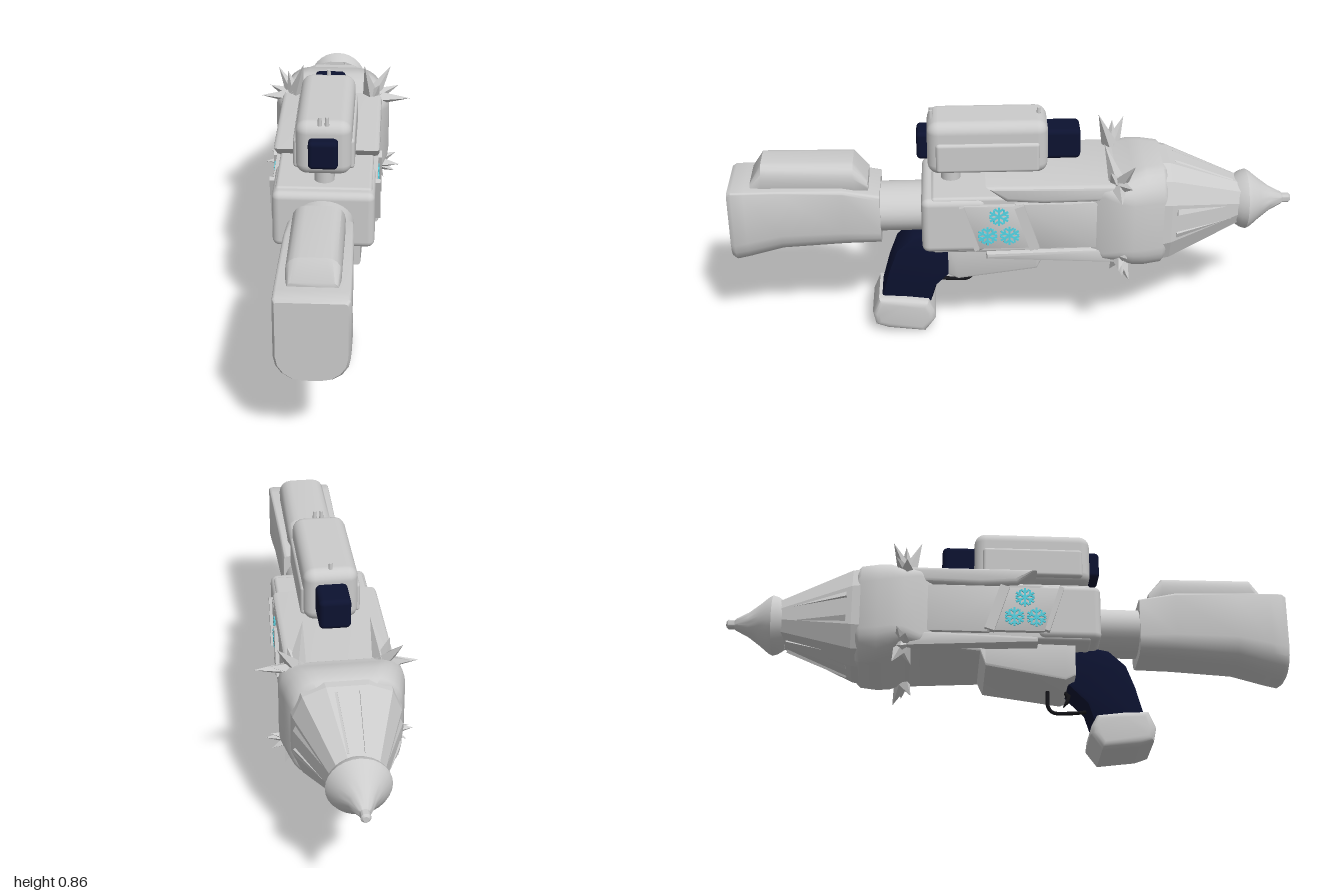
import * as THREE from 'three';
import { toCreasedNormals } from 'three/addons/utils/BufferGeometryUtils.js';
import { RoundedBoxGeometry } from 'three/addons/geometries/RoundedBoxGeometry.js';

const grey = new THREE.MeshStandardMaterial({ color: 0xcccccc });
const navy = new THREE.MeshStandardMaterial({ color: 0x0c1230 });
const black = new THREE.MeshStandardMaterial({ color: 0x15151a });
const cyan = new THREE.MeshStandardMaterial({ color: 0x55d5e5 });

// Rounded-rectangle sections [z, halfWidth, yBottom, yTop, rBottom, rTop], z ascending
function loft(sections, seg = 4, crease = 0.6) {
  const pos = [], idx = [], n = 4 * (seg + 1);
  for (const [z, w, y0, y1, rb, rt] of sections) {
    const corners = [[w - rt, y1 - rt, rt], [-w + rt, y1 - rt, rt], [-w + rb, y0 + rb, rb], [w - rb, y0 + rb, rb]];
    corners.forEach(([cx, cy, r], c) => {
      for (let k = 0; k <= seg; k++) {
        const a = (c + k / seg) * Math.PI / 2;
        pos.push(cx + r * Math.cos(a), cy + r * Math.sin(a), z);
      }
    });
  }
  const last = (sections.length - 1) * n;
  for (let s = 0; s < last; s += n) {
    for (let i = 0; i < n; i++) {
      const a = s + i, b = s + (i + 1) % n;
      idx.push(a, b, b + n, a, b + n, a + n);
    }
  }
  for (let i = 1; i < n - 1; i++) idx.push(0, i + 1, i, last, last + i, last + i + 1);
  const g = new THREE.BufferGeometry();
  g.setAttribute('position', new THREE.Float32BufferAttribute(pos, 3));
  g.setIndex(idx);
  return toCreasedNormals(g, crease);
}

// Side profile of [z, y] points extruded across x, centred on x = 0
function side(points, width, bevel = 0.01, bevelSegments = 2) {
  const shape = new THREE.Shape(points.map(p => new THREE.Vector2(...p)));
  const depth = width - 2 * bevel;
  const g = new THREE.ExtrudeGeometry(shape, {
    depth, bevelEnabled: bevel > 0, bevelSize: bevel, bevelThickness: bevel, bevelOffset: -bevel, bevelSegments,
  });
  return toCreasedNormals(g.translate(0, 0, -depth / 2).rotateY(-Math.PI / 2), 0.7);
}

// Flat bar on a side panel between two [z, y] points
function bar([z0, y0], [z1, y1], width, thick, x) {
  const g = new THREE.BoxGeometry(thick, Math.hypot(z1 - z0, y1 - y0), width);
  return g.rotateX(Math.atan2(z1 - z0, y1 - y0)).translate(x, (y0 + y1) / 2, (z0 + z1) / 2);
}

export function createModel() {
  const model = new THREE.Group();
  const body = new THREE.Group();
  body.name = 'body';
  body.position.x = -0.015;
  model.add(body);
  const add = (name, geometry, material = grey, parent = body) => {
    const mesh = new THREE.Mesh(geometry, material);
    mesh.name = name;
    parent.add(mesh);
    return mesh;
  };
  const box = (name, w, h, d, r, y, z, material) =>
    add(name, new RoundedBoxGeometry(w, h, d, 3, r), material).position.set(0, y, z);

  // Stock with cheek rest and neck
  add('stock', loft([
    [0.47, 0.11, 0.37, 0.575, 0.06, 0.015], [0.6, 0.114, 0.365, 0.6, 0.07, 0.012],
    [0.82, 0.118, 0.35, 0.605, 0.08, 0.01], [0.94, 0.12, 0.315, 0.605, 0.09, 0.01],
    [0.985, 0.12, 0.305, 0.605, 0.09, 0.01], [1, 0.112, 0.315, 0.598, 0.085, 0.01]]));
  add('cheekRest', loft([
    [0.51, 0.075, 0.58, 0.615, 0.01, 0.015], [0.56, 0.086, 0.58, 0.682, 0.01, 0.045],
    [0.88, 0.086, 0.58, 0.685, 0.01, 0.045], [0.92, 0.08, 0.58, 0.62, 0.01, 0.02]]));
  add('stockNeck', new THREE.CylinderGeometry(0.105, 0.105, 0.2, 28)
    .scale(1, 1, 0.8).rotateX(Math.PI / 2).translate(0, 0.482, 0.4));

  // Receiver
  box('rearReceiver', 0.35, 0.21, 0.225, 0.025, 0.485, 0.212);
  box('core', 0.33, 0.22, 0.62, 0.012, 0.485, -0.02);
  add('lowerReceiver', loft([
    [-0.3, 0.15, 0.35, 0.42, 0.01, 0.01], [-0.1, 0.145, 0.335, 0.42, 0.01, 0.01],
    [-0.08, 0.135, 0.285, 0.42, 0.01, 0.01], [0.2, 0.125, 0.242, 0.42, 0.01, 0.01],
    [0.235, 0.125, 0.26, 0.42, 0.01, 0.01]], 2));
  add('upperShell', side([[0.1, 0.642], [0.03, 0.585], [-0.1, 0.575], [-0.36, 0.58], [-0.36, 0.642]], 0.37, 0.018, 3));
  add('lowerShell', side([[0.1, 0.38], [0.1, 0.358], [-0.36, 0.333], [-0.36, 0.39], [-0.25, 0.388]], 0.37, 0.01));

  // Side panels with framed snowflake plates
  for (const s of [-1, 1]) {
    const panel = new THREE.Group();
    panel.name = s > 0 ? 'leftPanel' : 'rightPanel';
    body.add(panel);
    add('darkPanel', side([[0, 0.575], [-0.29, 0.575], [-0.29, 0.395], [-0.07, 0.395]], 0.02, 0.004), grey, panel).position.x = s * 0.168;
    add('plate', side([[0.185, 0.57], [-0.03, 0.57], [-0.085, 0.4], [0.13, 0.4]], 0.018, 0.003), grey, panel).position.x = s * 0.172;
    add('rearFrame', bar([0.185, 0.57], [0.132, 0.4], 0.018, 0.02, s * 0.182), grey, panel);
    add('frontFrame', bar([-0.015, 0.57], [-0.07, 0.4], 0.035, 0.02, s * 0.182), grey, panel);
    for (const [z, y] of [[0.055, 0.53], [0.095, 0.453], [0.018, 0.453]]) {
      for (let k = 0; k < 6; k++) {
        const a = k * Math.PI / 3 + Math.PI / 6;
        const at = (r, t) => [z + r * Math.cos(t), y + r * Math.sin(t)];
        add('snowflakeArm', bar([z, y], at(0.036, a), 0.007, 0.006, s * 0.182), cyan, panel);
        for (const t of [-0.45, 0.45])
          add('snowflakeBranch', bar(at(0.018, a), at(0.033, a + t), 0.006, 0.006, s * 0.182), cyan, panel);
      }
    }
  }

  // Muzzle collar, faceted cone and tip
  add('muzzleCollar', loft([
    [-0.535, 0.172, 0.305, 0.66, 0.1, 0.1], [-0.52, 0.185, 0.293, 0.672, 0.1, 0.1],
    [-0.46, 0.2, 0.292, 0.674, 0.1, 0.1], [-0.415, 0.212, 0.305, 0.665, 0.09, 0.09],
    [-0.37, 0.21, 0.333, 0.642, 0.06, 0.06], [-0.31, 0.19, 0.335, 0.64, 0.04, 0.04],
    [-0.27, 0.17, 0.36, 0.62, 0.03, 0.03]], 6, 0.8));
  add('muzzleCone', loft([
    [-0.81, 0.085, 0.412, 0.562, 0.055, 0.055], [-0.55, 0.18, 0.3, 0.668, 0.11, 0.11],
    [-0.52, 0.184, 0.296, 0.67, 0.11, 0.11]], 2, 0.2));
  for (let k = 0; k < 8; k++) {
    const a = (k + 0.5) * Math.PI / 4;
    const g = new THREE.BoxGeometry(0.07, 0.012, 0.23);
    const p = g.attributes.position;
    for (let i = 0; i < p.count; i++) if (p.getZ(i) < 0) p.setX(i, p.getX(i) * 0.35);
    g.rotateX(-0.38).translate(0, 0.133, -0.675).rotateZ(a).translate(0, 0.482, 0);
    add('conePanel', g);
  }
  const tip = [[0, 0.79], [0.085, 0.79], [0.102, 0.815], [0.108, 0.835], [0.1, 0.85], [0.075, 0.88],
    [0.045, 0.92], [0.022, 0.965], [0.017, 0.97], [0.017, 0.993], [0.01, 1], [0, 1]].map(p => new THREE.Vector2(...p));
  add('muzzleTip', toCreasedNormals(new THREE.LatheGeometry(tip, 28), 0.7).rotateX(-Math.PI / 2).translate(0, 0.482, 0));

  // Spike clusters: base point, then tips, placed by the collar corners
  const clusters = [
    [[0.13, 0.625, -0.36], [[0.275, 0.625, -0.36], [0.2, 0.732, -0.41], [0.105, 0.775, -0.31], [0.16, 0.69, -0.33], [0.23, 0.66, -0.4]]],
    [[-0.155, 0.625, -0.36], [[-0.28, 0.625, -0.36], [-0.218, 0.72, -0.41], [-0.12, 0.775, -0.31], [-0.18, 0.725, -0.365], [-0.25, 0.65, -0.4]]],
    [[0.14, 0.35, -0.37], [[0.24, 0.345, -0.36], [0.225, 0.382, -0.39], [0.18, 0.265, -0.405], [0.12, 0.28, -0.34], [0.22, 0.31, -0.375]]],
    [[-0.17, 0.35, -0.37], [[-0.27, 0.345, -0.36], [-0.25, 0.38, -0.39], [-0.215, 0.262, -0.405], [-0.15, 0.28, -0.34], [-0.245, 0.31, -0.375]]],
  ];
  for (const [base, tips] of clusters) {
    const b = new THREE.Vector3(...base);
    for (const t of tips) {
      const d = new THREE.Vector3(...t).sub(b), len = d.length();
      const g = toCreasedNormals(new THREE.ConeGeometry(0.032, len, 4).translate(0, len / 2, 0), 0.1);
      const spike = add('spike', g, grey, model);
      spike.position.copy(b);
      spike.quaternion.setFromUnitVectors(new THREE.Vector3(0, 1, 0), d.normalize());
    }
  }

  // Scope with lenses, side ribs, nubs and mount
  box('scopeBody', 0.19, 0.198, 0.42, 0.04, 0.742, 0.09);
  box('scopeRib', 0.208, 0.11, 0.36, 0.012, 0.715, 0.09);
  box('frontLens', 0.1, 0.102, 0.08, 0.015, 0.739, 0.297, navy);
  box('rearLens', 0.11, 0.112, 0.15, 0.018, 0.738, -0.16, navy);
  for (const [x, z] of [[-0.012, 0.285], [0.012, 0.285], [0, -0.09]])
    add('scopeNub', new THREE.CylinderGeometry(0.006, 0.008, 0.03, 8).translate(x, 0.845, z));
  add('scopeMount', new THREE.CylinderGeometry(0.035, 0.035, 0.08, 20).translate(0, 0.618, 0.22));

  // Grip, base, trigger and guard
  add('grip', side([[0.36, 0.385], [0.42, 0.33], [0.45, 0.25], [0.485, 0.12], [0.305, 0.1], [0.28, 0.18],
    [0.2, 0.26], [0.22, 0.37], [0.28, 0.4]], 0.14, 0.012), navy);
  add('gripBase', side([[0.49, 0.145], [0.515, 0.085], [0.505, 0.035], [0.46, 0.018], [0.325, 0.001], [0.285, 0.055],
    [0.29, 0.09], [0.31, 0.128], [0.4, 0.14]], 0.21, 0.024, 4));
  const guard = new THREE.CatmullRomCurve3([[0.29, 0.175], [0.22, 0.168], [0.165, 0.17], [0.148, 0.19], [0.147, 0.26]]
    .map(([z, y]) => new THREE.Vector3(0, y, z)));
  add('triggerGuard', new THREE.TubeGeometry(guard, 24, 0.007, 8), black);
  add('trigger', side([[0.235, 0.26], [0.2, 0.26], [0.213, 0.225], [0.2, 0.19], [0.222, 0.21]], 0.02, 0.002), black);
  return model;
}
